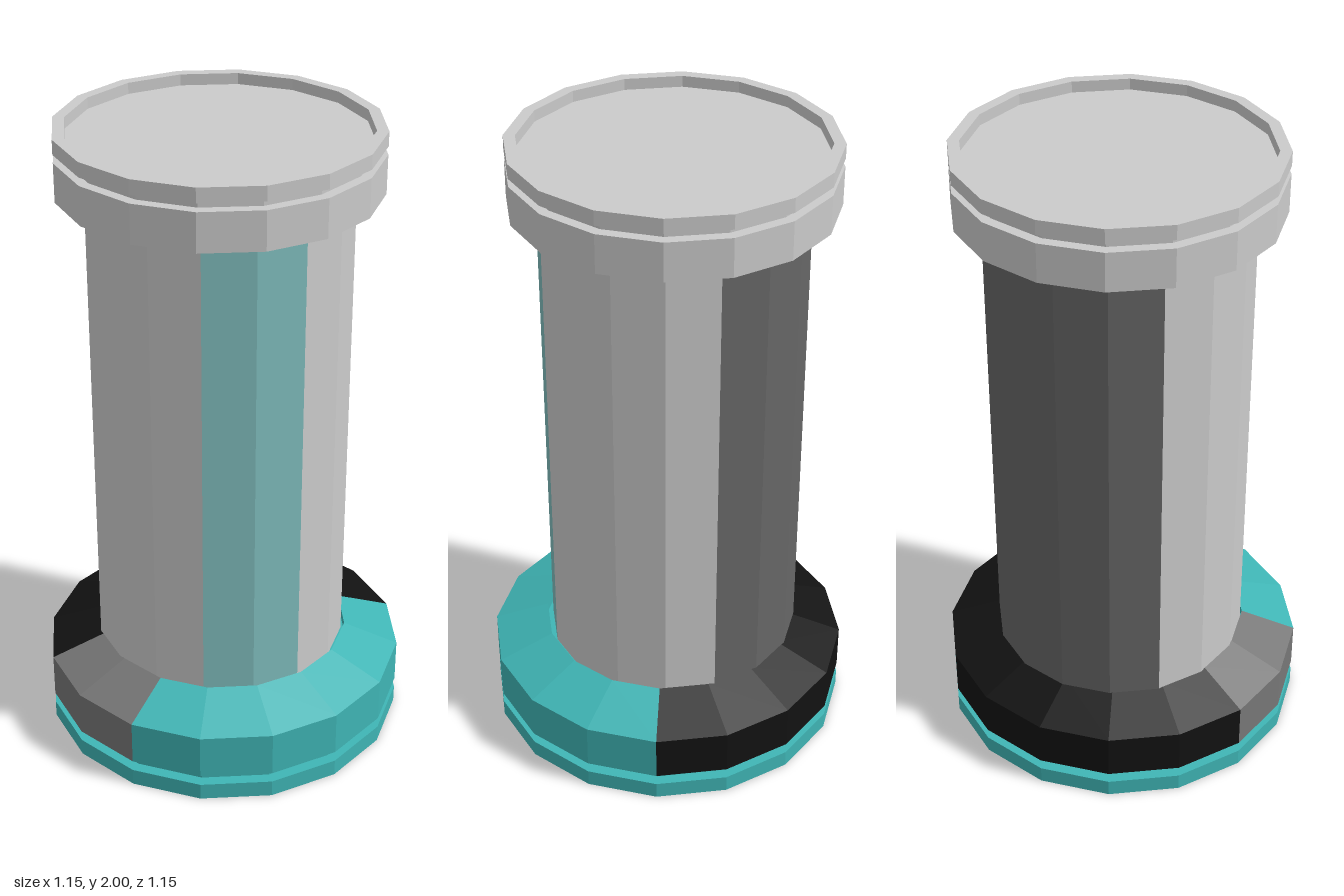
import * as THREE from 'three';

const SIDES = 16;
const STEP = (Math.PI * 2) / SIDES;
const GREY = 0xcccccc, TEAL = 0x3fb5b5, DARK = 0x121212;

// Revolve a bottom-to-top profile over a run of facets (facet 0 starts at +z, going towards +x)
function turned(name, profile, color = GREY, first = 0, count = SIDES) {
  const points = profile.map(([r, y]) => new THREE.Vector2(r, y));
  const geometry = new THREE.LatheGeometry(points, count, first * STEP, count * STEP);
  const material = new THREE.MeshStandardMaterial({ color, flatShading: true, side: THREE.DoubleSide });
  const mesh = new THREE.Mesh(geometry, material);
  mesh.name = name;
  return mesh;
}

export function createModel() {
  const model = new THREE.Group();
  model.name = 'pedestal';

  // Foot: recessed underside, thin rim and the groove above it
  const base = new THREE.Group();
  base.name = 'base';
  base.add(turned('footRim', [
    [0, 0.035], [0.535, 0.035], [0.535, 0], [0.575, 0], [0.575, 0.055], [0.54, 0.055], [0.54, 0.09],
  ], TEAL));

  // Thick band with a sloping shoulder, coloured by sector
  const band = [[0.54, 0.09], [0.575, 0.09], [0.575, 0.235], [0.4, 0.3], [0.4, 0.27], [0, 0.27]];
  base.add(turned('baseBandFront', band, 0x777777, -1, 2));
  base.add(turned('baseBandLeft', band, TEAL, 1, 6));
  base.add(turned('baseBandBack', band, DARK, 7, 8));

  // Shaft and cap stand slightly off the base centre
  const upper = new THREE.Group();
  upper.name = 'column';
  upper.position.x = -0.02;
  const shaft = [[0.402, 0.27], [0.402, 1.775]];
  upper.add(turned('shaftFront', shaft, GREY, -2, 4));
  upper.add(turned('shaftTealStrip', shaft, 0x7fbcbc, 2, 2));
  upper.add(turned('shaftLeft', shaft, GREY, 4, 4));
  upper.add(turned('shaftBack', shaft, 0x666666, 8, 6));

  // Cap: bevel, band, groove, rim and shallow recessed top
  upper.add(turned('cap', [
    [0.402, 1.775], [0.487, 1.81], [0.487, 1.93], [0.455, 1.93], [0.455, 1.955],
    [0.487, 1.955], [0.487, 2], [0.452, 2], [0.452, 1.965], [0, 1.965],
  ]));

  model.add(base, upper);
  return model;
}
